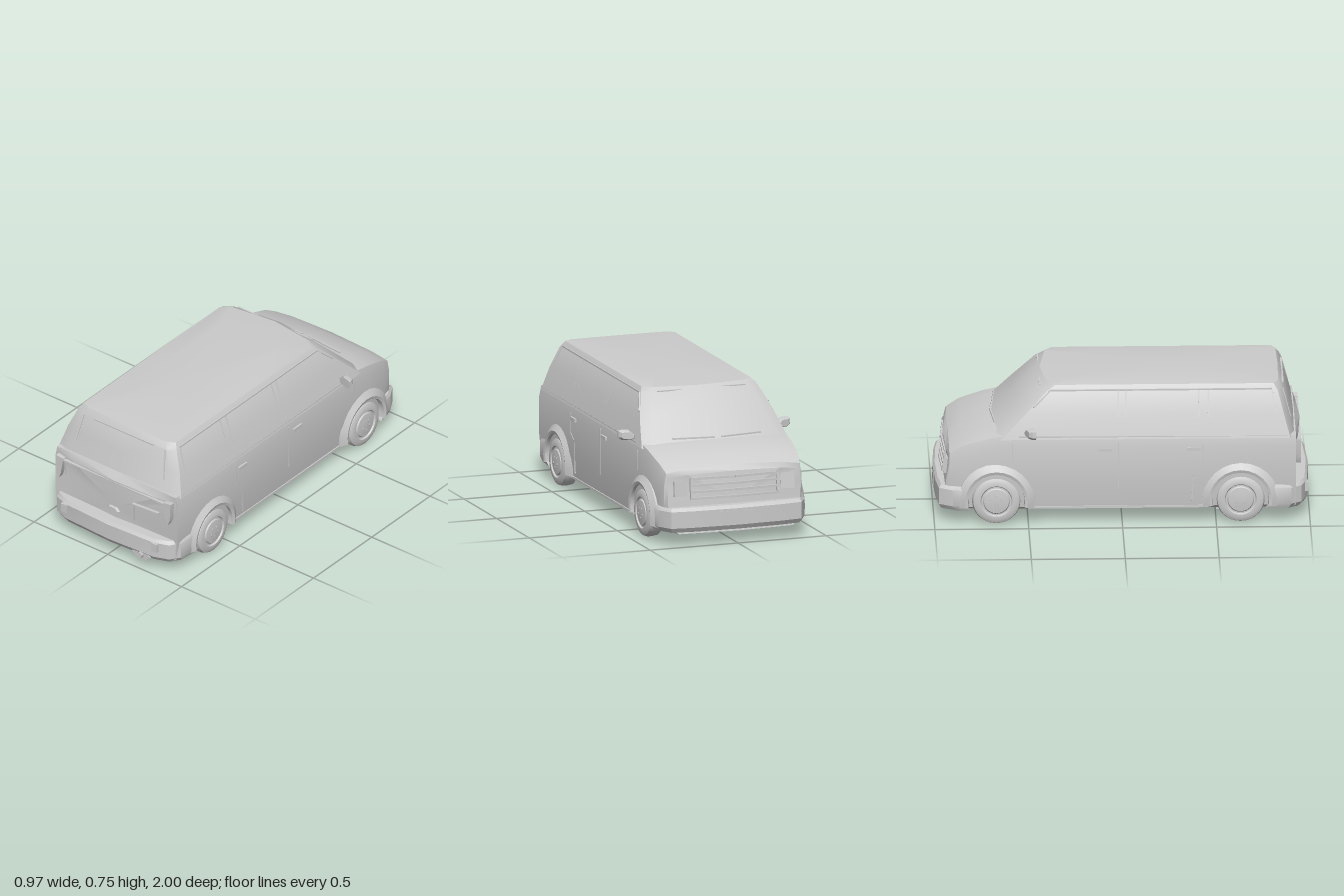
import * as THREE from 'three';
import { toCreasedNormals } from 'three/addons/utils/BufferGeometryUtils.js';

const V = (x, y, z) => new THREE.Vector3(x, y, z);

// Closed skin through rings of equal point count, capped at both ends, facing outwards
function loft(rings, crease = 0.5) {
  const n = rings[0].length, pts = rings.flat(), idx = [];
  for (let r = 0; r < rings.length - 1; r++) {
    for (let i = 0; i < n; i++) {
      const a = r * n + i, b = r * n + (i + 1) % n;
      idx.push(a, b, b + n, a, b + n, a + n);
    }
  }
  [0, rings.length - 1].forEach((r, end) => {
    const c = V(0, 0, 0);
    rings[r].forEach(p => c.addScaledVector(p, 1 / n));
    pts.push(c);
    for (let i = 0; i < n; i++) {
      const a = r * n + i, b = r * n + (i + 1) % n;
      if (end) idx.push(pts.length - 1, a, b);
      else idx.push(pts.length - 1, b, a);
    }
  });
  let volume = 0;
  for (let i = 0; i < idx.length; i += 3) {
    volume += pts[idx[i]].dot(V(0, 0, 0).crossVectors(pts[idx[i + 1]], pts[idx[i + 2]]));
  }
  if (volume < 0) idx.reverse();
  const g = new THREE.BufferGeometry().setFromPoints(pts);
  g.setIndex(idx);
  return toCreasedNormals(g, crease);
}

// Half outline from centre line to centre line, completed by its reflection
const full = half => [...half, ...half.slice(1, -1).reverse().map(p => V(-p.x, p.y, p.z))];

export function createModel() {
  const van = new THREE.Group();
  van.name = 'van';
  const grey = new THREE.MeshStandardMaterial({ color: 0xcccccc });
  grey.name = 'plain grey';
  const add = (name, geo, parent = van) => {
    const m = new THREE.Mesh(geo, grey);
    m.name = name;
    parent.add(m);
    return m;
  };
  // Bar between two points: w across, t along the given outward axis
  const bar = (name, a, b, w, t, up = V(1, 0, 0), parent = van) => {
    const m = add(name, new THREE.BoxGeometry(w, t, a.distanceTo(b)), parent);
    m.position.copy(a).add(b).multiplyScalar(0.5);
    m.up.copy(up);
    m.lookAt(b);
    return m;
  };

  // Lower body: z, half width, shoulder height, centre height
  const bow = x => 0.03 * (x / 0.4) ** 2;
  const stations = [
    [0.955, 0.41, 0.44, 0.45], [0.925, 0.415, 0.485, 0.49], [0.3, 0.42, 0.49, 0.5],
    [-0.6, 0.418, 0.495, 0.51], [-0.72, 0.415, 0.472, 0.5], [-0.85, 0.405, 0.432, 0.455],
    [-0.92, 0.39, 0.39, 0.415], [-0.945, 0.375, 0.365, 0.385],
  ];
  add('lowerBody', loft(stations.map(([z, w, ys, yc], k) => full([
    V(0, 0.065, z), V(0.86 * w, 0.065, z), V(0.965 * w, 0.09, z), V(w, 0.22, z),
    V(w, ys - 0.06, z), V(0.97 * w, ys, z), V(0.7 * w, ys * 0.4 + yc * 0.6, z), V(0, yc, z),
  ]).map(p => {
    if (k === 0) p.z -= bow(p.x);
    if (k === stations.length - 1) p.z += bow(p.x) - Math.max(0, 0.4 - p.y) * 0.12;
    return p;
  }))));

  // Greenhouse and roof: height, half width, rear z, front corner z
  const levels = [
    [0.47, 0.415, 0.925, -0.66], [0.6, 0.378, 0.89, -0.53], [0.71, 0.333, 0.86, -0.42],
    [0.743, 0.31, 0.838, -0.37], [0.755, 0.2, 0.68, -0.18],
  ];
  add('cabin', loft(levels.map(([y, x, zr, zf]) => full([
    V(0, y, zr), V(0.85 * x, y, zr - 0.005), V(x, y, zr - 0.03), V(x, y, 0.2),
    V(x, y, zf + 0.015), V(0.85 * x, y, zf - 0.025), V(0, y, zf - 0.06),
  ]))));
  const cabinAt = y => {
    const i = y < 0.6 ? 0 : 1, a = levels[i], b = levels[i + 1];
    return a.map((v, k) => v + (b[k] - v) * (y - a[0]) / (b[0] - a[0]));
  };

  // Bumpers wrapping the corners
  const bumper = (name, s, end, outline) => add(name, loft(
    [[0.075, -0.015], [0.1, 0], [0.19, 0], [0.208, -0.012]].map(([y, d]) => full(
      [...outline.map(([x, z]) => V(x && x + d * 0.6, y, s * (z + d))), V(0, y, s * end)]))));
  bumper('rearBumper', 1, 0.79, [[0, 1], [0.3, 0.985], [0.38, 0.955], [0.418, 0.9], [0.427, 0.78]]);
  bumper('frontBumper', -1, 0.84, [[0, 1], [0.25, 0.99], [0.37, 0.975], [0.415, 0.9], [0.427, 0.83]]);

  // Tyre with recessed rim and domed cap, turned about the axle
  const tyre = [[0, -0.045], [0.11, -0.045], [0.126, -0.035], [0.13, -0.01], [0.13, 0.015],
    [0.123, 0.033], [0.105, 0.042], [0.085, 0.042], [0.08, 0.034], [0.072, 0.034],
    [0.066, 0.041], [0.03, 0.045], [0, 0.046]].map(p => new THREE.Vector2(...p));
  const tyreGeo = toCreasedNormals(new THREE.LatheGeometry(tyre, 32), 0.6);

  for (const s of [1, -1]) {
    const side = new THREE.Group();
    side.name = s > 0 ? 'leftSide' : 'rightSide';
    van.add(side);
    const line = (name, pts, w = 0.006, t = 0.006) => {
      for (let i = 0; i < pts.length - 1; i++) {
        const [a, b] = [pts[i], pts[i + 1]].map(p => V(s * p[0], p[1], p[2]));
        bar(name, a, b, w, t, V(1, 0, 0), side);
      }
    };

    // Wheels and flared arches
    for (const z of [0.63, -0.67]) {
      const wheel = new THREE.Group();
      wheel.name = z < 0 ? 'frontWheel' : 'rearWheel';
      wheel.position.set(s * 0.387, 0.13, z);
      wheel.rotation.z = -s * Math.PI / 2;
      side.add(wheel);
      add('tyreAndRim', tyreGeo, wheel);
      for (let i = 0; i < 5; i++) {
        const a = i / 5 * Math.PI * 2;
        add('wheelBolt', new THREE.CylinderGeometry(0.005, 0.005, 0.006, 6), wheel)
          .position.set(0.028 * Math.cos(a), 0.046, 0.028 * Math.sin(a));
      }
      const arch = [];
      for (let i = 0; i <= 14; i++) {
        const a = THREE.MathUtils.degToRad(-12 + i * 204 / 14);
        arch.push([[0.148, 0.39], [0.152, 0.434], [0.168, 0.439], [0.205, 0.415], [0.205, 0.39]]
          .map(([r, x]) => V(s * x, 0.13 + r * Math.sin(a), z + r * Math.cos(a))));
      }
      add('wheelArch', loft(arch, 0.6), side);
    }

    // Window pillars, gutter and belt line
    for (const z of [0.46, 0.41, 0.02, -0.02]) {
      line('windowPillar', [0.58, 0.715].map(y => [cabinAt(y)[1], y, z]), 0.008);
    }
    line('gutter', [[0.329, 0.718, 0.8], [0.329, 0.718, -0.38], [0.366, 0.635, -0.47]], 0.008);
    line('rearPillar', [[0.378, 0.6, 0.82], [0.333, 0.71, 0.8]], 0.008);
    line('beltLine', [[0.409, 0.478, 0.88], [0.409, 0.485, -0.55]], 0.007);

    // Door seams and handles
    line('slidingDoorSeam', [[0.418, 0.44, 0.43], [0.419, 0.33, 0.43], [0.419, 0.3, 0.38], [0.417, 0.12, 0.37]]);
    line('doorSeam', [[0.418, 0.45, -0.02], [0.419, 0.2, -0.02]]);
    line('frontDoorSeam', [[0.417, 0.45, -0.585], [0.418, 0.34, -0.585]]);
    line('sill', [[0.405, 0.088, 0.46], [0.405, 0.088, -0.5]], 0.012, 0.012);
    for (const z of [0.38, -0.09]) {
      line('doorHandle', [[0.422, 0.415, z + 0.035], [0.422, 0.415, z - 0.035]], 0.018, 0.016);
    }

    // Door mirror
    const housing = (z, k) => [[0.4, 0.497], [0.418, 0.49], [0.47, 0.489], [0.487, 0.503],
      [0.485, 0.537], [0.46, 0.542], [0.43, 0.54], [0.4, 0.515]]
      .map(([x, y]) => V(s * (0.445 + (x - 0.445) * k), 0.515 + (y - 0.515) * k, z + (x - 0.4) * 0.25));
    add('doorMirror', loft([housing(-0.48, 1), housing(-0.5, 1), housing(-0.52, 0.7)]), side);

    // Tail lamp wedge, bumper reflector and rear window edge
    add('tailLamp', loft([[0.9, 1], [0.953, 0.85]].map(([z, k]) =>
      [[0.335, 0.445], [0.392, 0.45], [0.385, 0.35], [0.37, 0.315], [0.357, 0.34]]
        .map(([x, y]) => V(s * (0.365 + (x - 0.365) * k), y, z)))), side);
    add('bumperReflector', new THREE.BoxGeometry(0.04, 0.05, 0.03), side).position.set(s * 0.305, 0.163, 0.977);
    bar('rearWindowEdge', V(s * 0.3, 0.55, 0.899), V(s * 0.275, 0.705, 0.858), 0.008, 0.006, V(0, 0, 1), side);
    bar('hatchEdge', V(s * 0.338, 0.43, 0.935), V(s * 0.338, 0.34, 0.935), 0.007, 0.008, V(0, 0, 1), side);

    // Headlamp and grille end
    const lamp = add('headlamp', new THREE.BoxGeometry(0.075, 0.085, 0.03), side);
    lamp.position.set(s * 0.305, 0.305, -0.925);
    lamp.rotation.set(0.12, s * 0.12, 0);
    bar('grilleEnd', V(s * 0.245, 0.25, -0.948), V(s * 0.245, 0.355, -0.936), 0.012, 0.016, V(0, 0, 1), side);

    // Wiper, grille slats meeting in a shallow point
    bar('wiper', V(s * 0.02, 0.515, -0.695), V(s * 0.25, 0.518, -0.675), 0.008, 0.008, V(0, 1, 0), side);
    for (const y of [0.25, 0.285, 0.32, 0.355]) {
      const z = -0.945 - (0.4 - y) * 0.12;
      bar('grilleSlat', V(0, y, z), V(s * 0.25, y, z + 0.013), 0.012, 0.012, V(0, 1, 0), side);
    }
  }

  // Hatch details
  bar('hatchLip', V(-0.34, 0.436, 0.945), V(0.34, 0.436, 0.945), 0.02, 0.008, V(0, 1, 0));
  bar('rearWindowTop', V(-0.2, 0.71, 0.86), V(0.2, 0.71, 0.86), 0.01, 0.007, V(0, 1, 0));
  bar('plateEdgeTop', V(0.13, 0.352, 0.95), V(0.3, 0.354, 0.94), 0.016, 0.008, V(0, 1, 0));
  bar('plateEdgeSide', V(0.134, 0.25, 0.95), V(0.134, 0.35, 0.95), 0.008, 0.016, V(0, 0, 1));
  add('hatchHandle', loft([[0.95, 1], [0.964, 0.8]].map(([z, k]) =>
    full([V(0, 0.274 + 0.01 * k, z), V(0.025 * k, 0.274 + 0.01 * k, z),
      V(0.043 * k, 0.274 - 0.01 * k, z), V(0, 0.274 - 0.01 * k, z)]))));
  bar('windscreenTop', V(-0.25, 0.726, -0.435), V(0.25, 0.726, -0.435), 0.008, 0.006, V(0, 1, 0));
  add('frontPlate', new THREE.BoxGeometry(0.2, 0.065, 0.02)).position.set(0, 0.145, -0.99);

  // Underside: floor, exhaust, axle and front frame
  add('floorPan', new THREE.BoxGeometry(0.66, 0.012, 1.7)).position.y = 0.062;
  const tube = (name, pts, r) => add(name, new THREE.TubeGeometry(
    new THREE.CatmullRomCurve3(pts.map(p => V(...p))), 16, r, 8));
  tube('exhaustPipe', [[0, 0.052, -0.6], [0.02, 0.052, -0.2], [0.1, 0.052, 0.2]], 0.011);
  tube('tailPipe', [[0.14, 0.052, 0.42], [0.17, 0.055, 0.65], [0.213, 0.08, 0.94]], 0.011);
  const muffler = add('muffler', new THREE.CylinderGeometry(0.075, 0.075, 0.28, 8).toNonIndexed());
  muffler.geometry.computeVertexNormals();
  muffler.rotation.x = Math.PI / 2;
  muffler.scale.z = 0.25;
  muffler.position.set(0.13, 0.053, 0.31);
  const hanger = (z, k) => full([V(0, 0.118, z), V(0.035 * k, 0.118, z), V(0.062 * k, 0.082, z),
    V(0.03 * k, 0.055, z), V(0, 0.055, z)]).map(p => p.add(V(0.213, 0, 0)));
  add('tailPipeBracket', loft([hanger(0.94, 1), hanger(0.985, 1)]));
  const tip = add('tailPipeTip', new THREE.CylinderGeometry(0.019, 0.019, 0.06, 6));
  tip.rotation.x = Math.PI / 2;
  tip.position.set(0.213, 0.082, 0.97);
  bar('rearAxle', V(-0.35, 0.06, 0.51), V(0.35, 0.06, 0.51), 0.02, 0.02, V(0, 1, 0));
  for (const z of [-0.38, -0.74]) bar('frameCross', V(-0.22, 0.056, z), V(0.11, 0.056, z), 0.012, 0.012, V(0, 1, 0));
  for (const x of [-0.22, 0.11]) bar('frameRail', V(x, 0.056, -0.38), V(x, 0.056, -0.74), 0.012, 0.012, V(0, 1, 0));
  return van;
}
